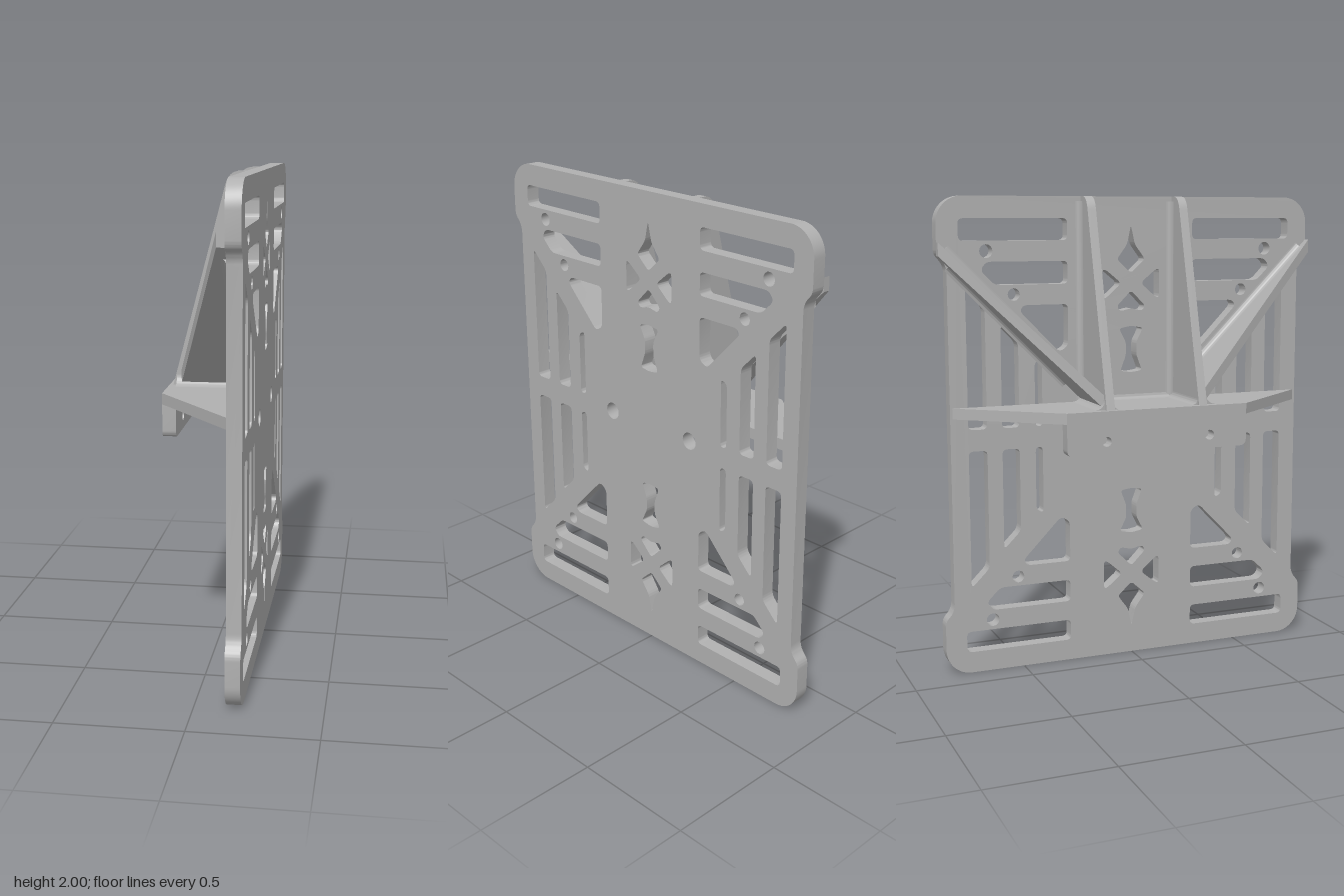
import * as THREE from 'three';
import { toCreasedNormals } from 'three/addons/utils/BufferGeometryUtils.js';

const TOP = 1.14;          // top of the shelf
const BACK = 0.125;        // rear face of the plate
const V = (x, y, z) => new THREE.Vector3(x, y, z);

// Trace a polygon with softened corners onto a Path or Shape.
function rounded(path, pts, r) {
  const n = pts.length;
  const p = pts.map(([a, b]) => new THREE.Vector2(a, b));
  for (let i = 0; i < n; i++) {
    const c = p[i], before = p[(i + n - 1) % n], after = p[(i + 1) % n];
    const inR = Math.min(r, c.distanceTo(before) * 0.45);
    const outR = Math.min(r, c.distanceTo(after) * 0.45);
    const a = before.clone().sub(c).setLength(inR).add(c);
    const b = after.clone().sub(c).setLength(outR).add(c);
    if (i === 0) path.moveTo(a.x, a.y); else path.lineTo(a.x, a.y);
    path.quadraticCurveTo(c.x, c.y, b.x, b.y);
  }
  path.closePath();
  return path;
}

function circle(x, y, r) {
  const p = new THREE.Path();
  p.absarc(x, y, r, 0, Math.PI * 2, false);
  return p;
}

function extrude(shape, depth) {
  const g = new THREE.ExtrudeGeometry(shape, { depth, bevelEnabled: false, curveSegments: 8 });
  return toCreasedNormals(g, 0.6);
}

export function createModel() {
  const model = new THREE.Group();
  model.name = 'mountingBracket';
  const grey = new THREE.MeshStandardMaterial({ color: 0xb0b0b0 });
  grey.name = 'grey';

  const add = (name, geometry) => {
    const mesh = new THREE.Mesh(geometry, grey);
    mesh.name = name;
    model.add(mesh);
    return mesh;
  };

  // Perforated plate, drawn in (z, y) and extruded along x
  const plate = new THREE.Shape();
  plate.moveTo(-0.73, 0);
  plate.lineTo(0.73, 0);
  plate.absarc(0.73, 0.11, 0.11, -Math.PI / 2, 0, false);
  plate.lineTo(0.84, 0.21);
  plate.quadraticCurveTo(0.84, 0.235, 0.825, 0.25);
  plate.quadraticCurveTo(0.8, 0.275, 0.8, 0.31);
  plate.lineTo(0.8, 1.69);
  plate.quadraticCurveTo(0.8, 1.725, 0.825, 1.75);
  plate.quadraticCurveTo(0.84, 1.765, 0.84, 1.79);
  plate.absarc(0.73, 1.89, 0.11, 0, Math.PI / 2, false);
  plate.lineTo(-0.73, 2);
  plate.absarc(-0.73, 1.89, 0.11, Math.PI / 2, Math.PI, false);
  plate.lineTo(-0.84, 1.79);
  plate.quadraticCurveTo(-0.84, 1.765, -0.825, 1.75);
  plate.quadraticCurveTo(-0.8, 1.725, -0.8, 1.69);
  plate.lineTo(-0.8, 0.31);
  plate.quadraticCurveTo(-0.8, 0.275, -0.825, 0.25);
  plate.quadraticCurveTo(-0.84, 0.235, -0.84, 0.21);
  plate.lineTo(-0.84, 0.11);
  plate.absarc(-0.73, 0.11, 0.11, Math.PI, Math.PI * 1.5, false);

  // Cut-outs of one quarter, repeated in all four
  const quarterHoles = [
    [[0.285, 1.82], [0.75, 1.82], [0.75, 1.91], [0.285, 1.91]],
    [[0.285, 1.64], [0.6, 1.64], [0.66, 1.7], [0.635, 1.735], [0.285, 1.735]],
    [[0.285, 1.555], [0.285, 1.38], [0.325, 1.355], [0.495, 1.53], [0.48, 1.555]],
    [[0.725, 1.045], [0.645, 1.045], [0.645, 1.55], [0.725, 1.63]],
    [[0.58, 1.045], [0.505, 1.045], [0.505, 1.4], [0.58, 1.475]],
    [[0.435, 1.045], [0.403, 1.045], [0.403, 1.33], [0.435, 1.315]],
    [[0.13, 1.695], [0.115, 1.695], [0.044, 1.637], [0.115, 1.575], [0.13, 1.575]],
  ];
  // Cut-outs on the centre line, repeated above and below
  const centreHoles = [
    [[0, 1.88], [0.018, 1.8], [0.064, 1.738], [0, 1.68], [-0.064, 1.738], [-0.018, 1.8]],
    [[0, 1.605], [0.065, 1.54], [0.05, 1.518], [0, 1.53], [-0.05, 1.518], [-0.065, 1.54]],
    [[0, 1.455], [0.055, 1.445], [0.024, 1.385], [0.024, 1.33], [0.05, 1.262], [0, 1.255],
      [-0.05, 1.262], [-0.024, 1.33], [-0.024, 1.385], [-0.055, 1.445]],
  ];
  for (const v of [1, -1]) {
    const flip = (y) => 1 + v * (y - 1);
    for (const s of [1, -1]) {
      for (const h of quarterHoles) {
        plate.holes.push(rounded(new THREE.Path(), h.map(([z, y]) => [s * z, flip(y)]), 0.022));
      }
      plate.holes.push(circle(s * 0.52, flip(1.6), 0.026));
      plate.holes.push(circle(s * 0.635, flip(1.778), 0.028));
    }
    for (const h of centreHoles) {
      plate.holes.push(rounded(new THREE.Path(), h.map(([z, y]) => [z, flip(y)]), 0.015));
    }
  }
  for (const s of [1, -1]) plate.holes.push(circle(s * 0.23, 1.015, 0.037));
  add('plate', extrude(plate, 0.06).rotateY(Math.PI / 2).translate(BACK, 0, 0));

  // Trapezoid shelf, drawn in (x, z) and extruded upwards
  const shelf = new THREE.Shape([[BACK, 0.79], [-0.185, 0.4], [-0.185, -0.4], [BACK, -0.79]]
    .map(([x, z]) => new THREE.Vector2(x, z)));
  add('shelf', extrude(shelf, 0.045).rotateX(-Math.PI / 2).translate(0, TOP - 0.045, 0));

  // Lip hanging from the shelf, with two screw holes
  const lip = new THREE.Shape();
  lip.moveTo(-0.4, 1.11);
  lip.lineTo(-0.4, 0.99);
  lip.quadraticCurveTo(-0.4, 0.96, -0.37, 0.96);
  lip.lineTo(0.37, 0.96);
  lip.quadraticCurveTo(0.4, 0.96, 0.4, 0.99);
  lip.lineTo(0.4, 1.11);
  for (const s of [1, -1]) lip.holes.push(circle(s * 0.23, 1.015, 0.021));
  add('lip', extrude(lip, 0.055).rotateY(Math.PI / 2).translate(-0.185, 0, 0));

  // Concave fillet in the corner between directions a and b
  const fillet = (name, origin, a, b, along, r, length) => {
    const shape = new THREE.Shape();
    shape.moveTo(0, 0);
    shape.lineTo(r, 0);
    shape.absarc(r, r, r, -Math.PI / 2, -Math.PI, true);
    shape.closePath();
    if (a.clone().cross(b).dot(along) < 0) [a, b] = [b, a];
    const m = new THREE.Matrix4().makeBasis(a, b, along).setPosition(origin);
    add(name, extrude(shape, length).applyMatrix4(m));
  };
  fillet('lipFillet', V(-0.13, 1.095, -0.39), V(1, 0, 0), V(0, -1, 0), V(0, 0, 1), 0.025, 0.78);
  fillet('shelfFillet', V(BACK, TOP, -0.19), V(-1, 0, 0), V(0, 1, 0), V(0, 0, 1), 0.02, 0.38);

  // Upright ribs, profile in (x, y)
  const rib = new THREE.Shape();
  rib.moveTo(BACK, 1.12);
  rib.lineTo(-0.175, 1.12);
  rib.lineTo(-0.17, TOP);
  rib.lineTo(0.042, 1.945);
  rib.quadraticCurveTo(0.056, 2, 0.1, 2);
  rib.lineTo(BACK, 2);

  // Diagonal ribs, profile in (x, distance from the middle)
  const brace = [[BACK, 0.2], [-0.146, 0.2], [0.095, 0.84], [BACK, 0.84]];

  for (const s of [1, -1]) {
    add('uprightRib', extrude(rib, 0.037).translate(0, 0, s * 0.206 - 0.0185));
    for (const [z, dir, r] of [[0.1875, -s, 0.025], [0.2245, s, 0.045]]) {
      fillet('ribFootFillet', V(-0.155, TOP, s * z), V(0, 0, dir), V(0, 1, 0), V(1, 0, 0), r, 0.28);
      fillet('ribBackFillet', V(BACK, TOP, s * z), V(0, 0, dir), V(-1, 0, 0), V(0, 1, 0), 0.025, 0.84);
    }

    // Slanted at 45 degrees towards the upper corner of the plate
    const shape = new THREE.Shape(brace.map(([x, z]) => new THREE.Vector2(x, -s * z)));
    const slant = new THREE.Matrix4().set(
      1, 0, 0, 0,
      0, -s, 1, 0.92,
      0, -1, 0, 0,
      0, 0, 0, 1);
    const g = new THREE.ExtrudeGeometry(shape, { depth: 0.055, bevelEnabled: false });
    g.applyMatrix4(slant);
    g.computeVertexNormals();
    add('diagonalRib', g);

    // Blends between the diagonal rib and the plate
    const d = Math.SQRT1_2;
    fillet('diagonalRibFillet', V(BACK, 1.275, s * 0.3), V(-1, 0, 0), V(0, d, -s * d), V(0, d, s * d), 0.025, 0.72);
    fillet('diagonalRibFillet', V(BACK, 1.22, s * 0.3), V(-1, 0, 0), V(0, -d, s * d), V(0, d, s * d), 0.02, 0.7);
  }
  return model;
}
